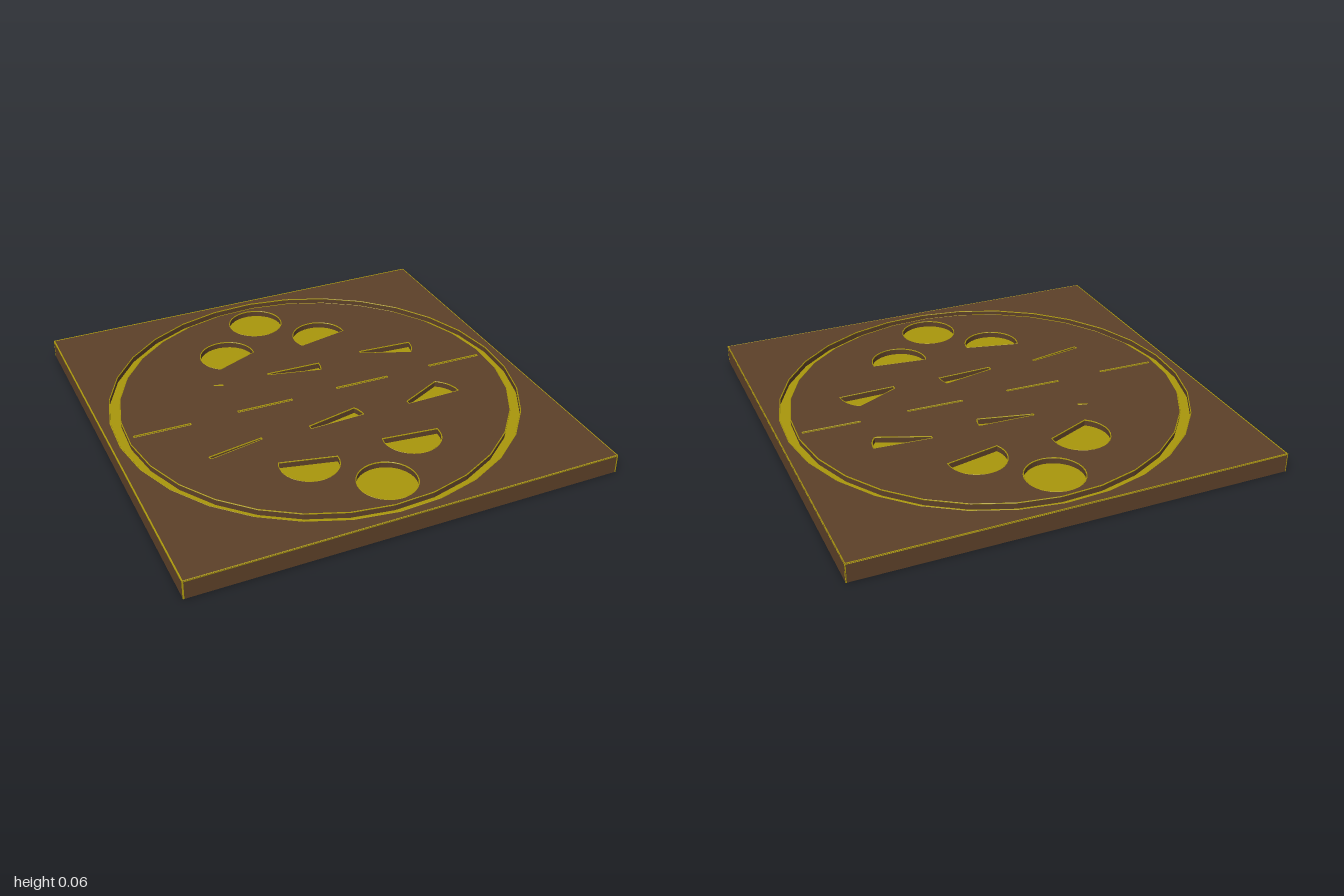
import * as THREE from 'three';
import { mergeGeometries } from 'three/addons/utils/BufferGeometryUtils.js';

const TOP = 0.0625, FLOOR = 0.042, R = 0.095;
const brown = new THREE.MeshStandardMaterial({ color: 0x5c4028, side: THREE.DoubleSide, flatShading: true });
const olive = new THREE.MeshStandardMaterial({ color: 0xa8960c, side: THREE.DoubleSide, flatShading: true });

// Each recess is a disc trimmed by chords: pairs of arc angles in degrees (z down, x right)
const LINE = [-46, -41, 134, 139];
const FULL = [0, 348];
const RECESSES = [
  [FULL, [108, 318], [-45, -3, 136, 143], LINE],
  [[80, 324], [-45, -18, 134, 139], LINE, [-103, -44, 132, 141]],
  ['sliver', LINE, [-74, -44, 130, 140], [-48, 151]],
  [LINE, [-51, -46, 114, 122], [-44, 160], FULL],
];

// Arc points in plan, stored as (x, -z)
function arc(cx, cz, r, from, to, step) {
  const n = Math.max(1, Math.round((to - from) / step)), pts = [];
  for (let i = 0; i <= n; i++) {
    const a = THREE.MathUtils.degToRad(from + (to - from) * i / n);
    pts.push(new THREE.Vector2(cx + r * Math.cos(a), -(cz + r * Math.sin(a))));
  }
  return pts;
}

function recessOutline(spec, cx, cz) {
  if (spec === 'sliver') {
    return [...arc(cx, cz, R, -47, -43, 12), new THREE.Vector2(cx + 0.038, -(cz - 0.052))];
  }
  const pts = [];
  for (let i = 0; i < spec.length; i += 2) pts.push(...arc(cx, cz, R, spec[i], spec[i + 1], 12));
  return pts;
}

const ring = (r) => arc(0, 0, r, 0, 348, 12);

// Flat upward-facing sheet with holes
function sheet(outline, holes, y) {
  const shape = new THREE.Shape(outline);
  shape.holes = holes.map((h) => new THREE.Path(h));
  return new THREE.ShapeGeometry(shape).rotateX(-Math.PI / 2).translate(0, y, 0);
}

// Vertical wall following a closed outline
function wall(outline, y0, y1) {
  const pos = [], index = [], n = outline.length;
  outline.forEach((p, i) => {
    pos.push(p.x, y0, -p.y, p.x, y1, -p.y);
    const a = 2 * i, b = 2 * ((i + 1) % n);
    index.push(a, b, a + 1, b, b + 1, a + 1);
  });
  const g = new THREE.BufferGeometry();
  g.setAttribute('position', new THREE.Float32BufferAttribute(pos, 3));
  g.setIndex(index);
  g.computeVertexNormals();
  return g;
}

// Thin rod between two points
function rod(a, b, r) {
  const dir = b.clone().sub(a);
  const q = new THREE.Quaternion().setFromUnitVectors(new THREE.Vector3(0, 1, 0), dir.clone().normalize());
  return new THREE.CylinderGeometry(r, r, dir.length(), 5, 1, true)
    .applyQuaternion(q).translate((a.x + b.x) / 2, (a.y + b.y) / 2, (a.z + b.z) / 2);
}

// Rods along every side of a closed outline
function trim(outline, y, r) {
  const at = (p) => new THREE.Vector3(p.x, y, -p.y);
  return outline.map((p, i) => rod(at(p), at(outline[(i + 1) % outline.length]), r));
}

export function createModel() {
  const group = new THREE.Group();
  const add = (name, geometry, material) => {
    const mesh = new THREE.Mesh(geometry, material);
    mesh.name = name;
    group.add(mesh);
  };

  // Diamond-shaped board: solid base and upper sides
  add('boardBase', new THREE.CylinderGeometry(1, 1, FLOOR - 0.001, 4).translate(0, (FLOOR - 0.001) / 2, 0), brown);
  const diamond = arc(0, 0, 1, 0, 270, 90);
  add('boardSides', wall(diamond, FLOOR - 0.001, TOP), brown);

  // Recess outlines on a four by four grid
  const recesses = RECESSES.flatMap((row, j) =>
    row.map((spec, i) => recessOutline(spec, -0.375 + 0.25 * i, -0.375 + 0.25 * j)));
  const outer = ring(0.68), inner = ring(0.645);

  // Top surface outside and inside the ring groove
  add('boardTopBorder', sheet(diamond, [outer], TOP), brown);
  add('boardTopDisc', sheet(inner, recesses, TOP), brown);

  // Groove and recesses: brown walls, coloured floors
  add('recessWalls', mergeGeometries([outer, inner, ...recesses].map((o) => wall(o, FLOOR, TOP))), brown);
  add('grooveFloor', sheet(outer, [inner], FLOOR), olive);
  add('recessFloors', mergeGeometries(recesses.map((o) => sheet(o, [], FLOOR))), olive);

  // Fine coloured lines along the rims
  const rims = [outer, inner, ...recesses].flatMap((o) => trim(o, TOP - 0.001, 0.002));
  add('recessRims', mergeGeometries(rims), olive);

  // Coloured lines on the board's upper edges and corners
  const inset = arc(0, 0, 0.997, 0, 270, 90);
  const edges = trim(inset, TOP - 0.002, 0.003);
  for (const p of inset) {
    edges.push(rod(new THREE.Vector3(p.x, 0, -p.y), new THREE.Vector3(p.x, TOP, -p.y), 0.003));
  }
  add('boardEdges', mergeGeometries(edges), olive);
  return group;
}
